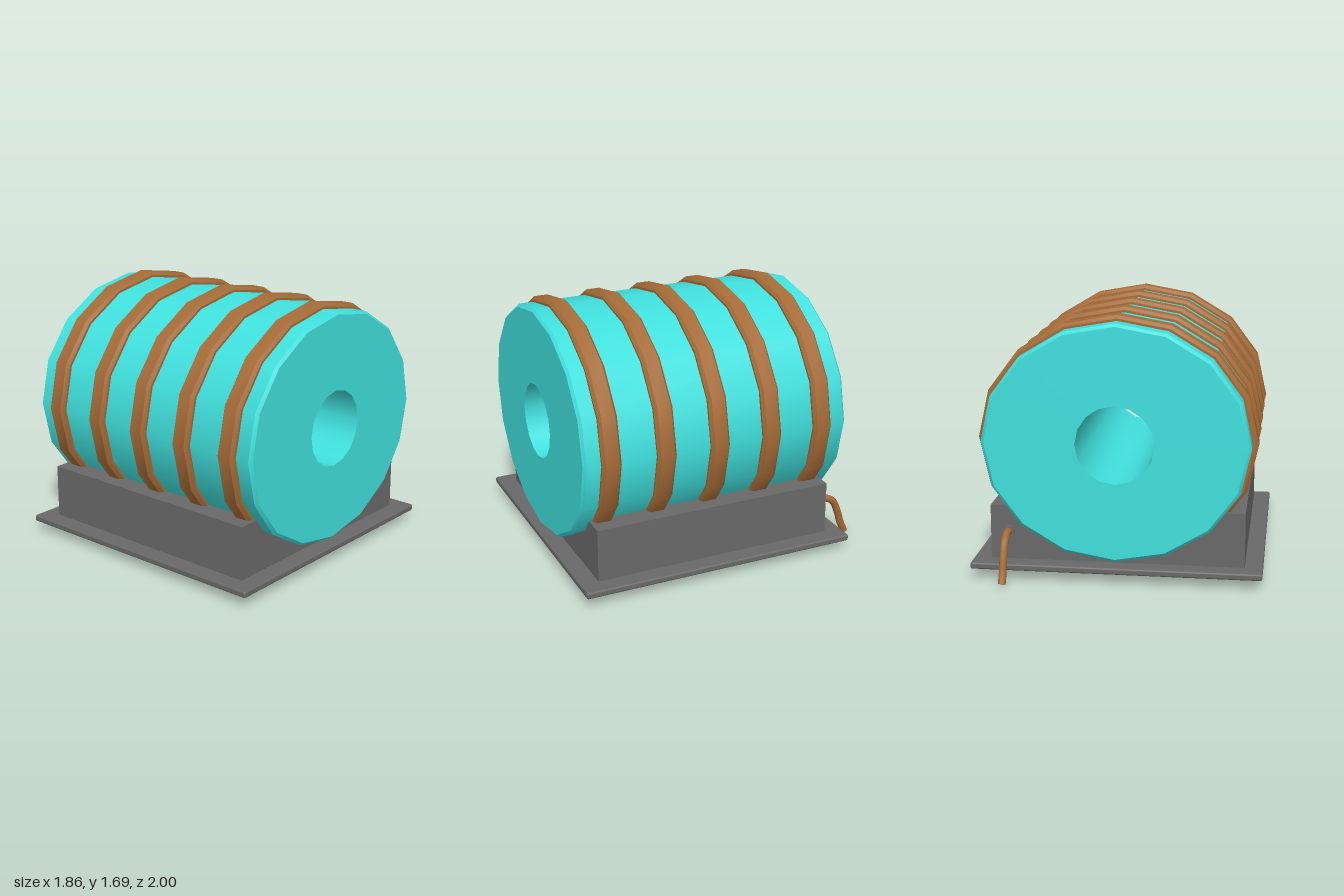
import * as THREE from 'three';
import { toCreasedNormals } from 'three/addons/utils/BufferGeometryUtils.js';
import { RoundedBoxGeometry } from 'three/addons/geometries/RoundedBoxGeometry.js';

const SIDES = 16, AXIS_Y = 0.9, WIDEN = 1.117;

// Revolves a closed [radius, z] profile about z and widens its outer part into an oval.
function ovalLathe(profile) {
  const geo = new THREE.LatheGeometry(profile.map(p => new THREE.Vector2(...p)), SIDES);
  geo.rotateX(Math.PI / 2);
  const pos = geo.attributes.position;
  for (let i = 0; i < pos.count; i++) {
    const x = pos.getX(i);
    if (Math.hypot(x, pos.getY(i)) > 0.3) pos.setX(i, x * WIDEN);
  }
  return toCreasedNormals(geo, 0.6);
}

export function createModel() {
  const model = new THREE.Group();
  const teal = new THREE.MeshStandardMaterial({ color: 0x40e0dd });
  const copper = new THREE.MeshStandardMaterial({ color: 0xa56b37 });
  const grey = new THREE.MeshStandardMaterial({ color: 0x696969 });

  const add = (name, geo, mat, x = 0, y = 0, z = 0) => {
    const mesh = new THREE.Mesh(geo, mat);
    mesh.name = name;
    mesh.position.set(x, y, z);
    model.add(mesh);
    return mesh;
  };

  // Drum with bevelled rims and a round bore
  const h = 0.91, b = 0.018;
  add('drum', ovalLathe([
    [0.25, -h], [0.76 - b, -h], [0.76, -h + b], [0.76, h - b],
    [0.76 - b, h], [0.25, h], [0.25, -h],
  ]), teal, 0, AXIS_Y, 0.06);

  // Five bands around the drum
  const band = ovalLathe([
    [0.73, -0.063], [0.775, -0.063], [0.795, -0.045], [0.795, 0.045],
    [0.775, 0.063], [0.73, 0.063], [0.73, -0.063],
  ]);
  for (let i = 0; i < 5; i++) add('band' + (i + 1), band, copper, 0, AXIS_Y, 0.795 - i * 0.365);

  // Cradle hollowed to carry the drum
  const hollow = [[0.67, 0.46], [0.595, 0.37], [0.322, 0.21], [0, 0.152]];
  const outline = [[-0.815, 0.1], [0.815, 0.1], [0.815, 0.46], ...hollow,
    ...hollow.slice(0, 3).reverse().map(([x, y]) => [-x, y]), [-0.815, 0.46]];
  add('cradle', new THREE.ExtrudeGeometry(
    new THREE.Shape(outline.map(p => new THREE.Vector2(...p))),
    { depth: 1.63, bevelEnabled: false }), grey, 0, 0, -0.75);

  // Base plate
  add('basePlate', new RoundedBoxGeometry(1.86, 0.043, 1.87, 2, 0.012), grey, 0, 0.085, 0.065);

  // Cable leaving the back of the cradle, with its collar
  const collar = new THREE.CylinderGeometry(0.04, 0.04, 0.02, 16).rotateX(Math.PI / 2);
  add('cableCollar', collar, grey, 0.7, 0.29, -0.757);
  const path = new THREE.CatmullRomCurve3(
    [[0.29, -0.73], [0.29, -0.81], [0.255, -0.875], [0.17, -0.917], [0.085, -0.943], [0.011, -0.977]]
      .map(([y, z]) => new THREE.Vector3(0.7, y, z)));
  add('cable', new THREE.TubeGeometry(path, 24, 0.025, 12), copper);

  // Cap closing the loose end of the cable
  const cap = add('cableEnd', new THREE.CircleGeometry(0.025, 12), copper);
  cap.position.copy(path.getPoint(1));
  cap.lookAt(cap.position.clone().add(path.getTangent(1)));

  return model;
}
